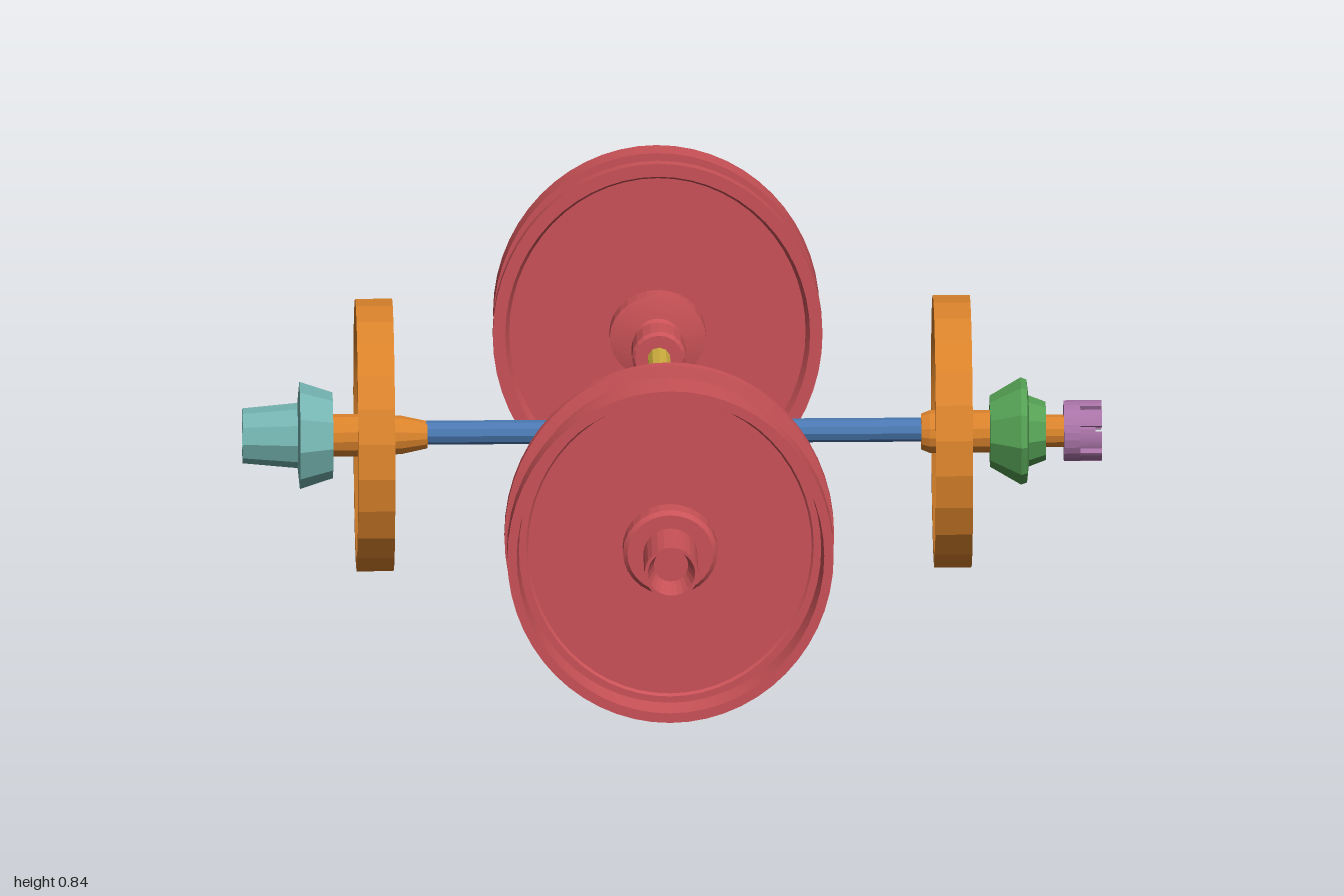
import * as THREE from 'three';
import { toCreasedNormals } from 'three/addons/utils/BufferGeometryUtils.js';

const paint = (name, hex) => {
  const m = new THREE.MeshStandardMaterial({ color: hex });
  m.name = name;
  return m;
};

export function createModel() {
  const red = paint('red', 0xc95257);
  const orange = paint('orange', 0xd9822b);
  const blue = paint('blue', 0x4a78b0);
  const yellow = paint('yellow', 0xcfae3f);
  const green = paint('green', 0x55a054);
  const purple = paint('purple', 0xa873a6);
  const teal = paint('teal', 0x74b3b0);

  const model = new THREE.Group();
  model.name = 'crossedAxles';

  // Turned part: profile of [radius, distance along axis], listed outward then up
  function turned(name, axis, profile, sides, material, parent, stretch = 1) {
    const pts = profile.map(([r, t]) => new THREE.Vector2(r, t));
    let g = new THREE.LatheGeometry(pts, sides);
    if (axis === 'x') g.rotateZ(-Math.PI / 2);
    else g.rotateX(Math.PI / 2);
    g.scale(1, stretch, 1);
    g = toCreasedNormals(g, 0.2);
    const mesh = new THREE.Mesh(g, material);
    mesh.name = name;
    parent.add(mesh);
    return mesh;
  }
  const bar = (r, a, b) => [[0, a], [r, a], [r, b], [0, b]];

  // ---- Side axle along x ----
  const sideAxle = new THREE.Group();
  sideAxle.name = 'sideAxle';
  sideAxle.position.y = 0.425;
  model.add(sideAxle);

  turned('blueRod', 'x', bar(0.028, -0.63, 0.61), 10, blue, sideAxle).position.y = 0.005;

  // Dished orange wheels with a raised rim on both faces
  for (const [name, c] of [['leftDisc', 0.652], ['rightDisc', -0.693]]) {
    const h = 0.043, w = 0.031;
    turned(name, 'x', [
      [0, c - w], [0.275, c - w], [0.287, c - h], [0.318, c - h],
      [0.318, c + h], [0.287, c + h], [0.275, c + w], [0, c + w],
    ], 24, orange, sideAxle);
  }
  turned('leftHub', 'x', [[0, 0.58], [0.042, 0.58], [0.05, 0.6], [0.05, 0.75], [0.038, 0.755],
    [0.038, 0.92], [0, 0.92]], 14, orange, sideAxle);
  turned('rightHub', 'x', [[0, -0.985], [0.042, -0.985], [0.042, -0.8], [0.05, -0.795],
    [0.05, -0.735], [0.045, -0.63], [0.032, -0.57], [0, -0.565]], 14, orange, sideAxle);

  // Stepped green collar
  turned('greenCollar', 'x', [[0, 0.74], [0.083, 0.74], [0.125, 0.812], [0.12, 0.826],
    [0.083, 0.83], [0.068, 0.87], [0, 0.87]], 10, green, sideAxle);

  // Flared teal cap, hollow at its end
  turned('tealCap', 'x', [[0, -0.97], [0.044, -0.97], [0.044, -1], [0.064, -1], [0.076, -0.872],
    [0.125, -0.867], [0.1, -0.79], [0, -0.79]], 10, teal, sideAxle);

  // Slotted purple nut
  const nut = new THREE.Group();
  nut.name = 'slottedNut';
  sideAxle.add(nut);
  turned('nutBase', 'x', bar(0.071, 0.912, 0.95), 24, purple, nut);
  turned('nutCore', 'x', bar(0.042, 0.94, 0.985), 16, purple, nut);
  for (let i = 0; i < 8; i++) {
    const a = (i * Math.PI) / 4, w = 0.3;
    const tooth = new THREE.Shape();
    tooth.absarc(0, 0, 0.071, a - w, a + w, false);
    tooth.absarc(0, 0, 0.03, a + w * 0.7, a - w * 0.7, true);
    const g = new THREE.ExtrudeGeometry(tooth, { depth: 0.052, bevelEnabled: false, curveSegments: 4 });
    g.rotateY(Math.PI / 2);
    const mesh = new THREE.Mesh(g, purple);
    mesh.name = 'nutTooth';
    mesh.position.x = 0.948;
    nut.add(mesh);
  }

  // ---- Long axle along z ----
  const longAxle = new THREE.Group();
  longAxle.name = 'longAxle';
  longAxle.position.set(-0.02, 0.423, 0);
  model.add(longAxle);
  turned('yellowRod', 'z', bar(0.027, -0.56, 0.56), 10, yellow, longAxle);

  for (const side of ['front', 'back']) {
    const wheel = new THREE.Group();
    wheel.name = side + 'Wheel';
    if (side === 'back') wheel.rotation.y = Math.PI;
    longAxle.add(wheel);
    const tall = 1.097;

    // Flanged inner disc, recessed on its inner face
    turned('wheelDisc', 'z', [[0, 0.725], [0.345, 0.725], [0.355, 0.703], [0.384, 0.703],
      [0.384, 0.726], [0.358, 0.732], [0.358, 0.803], [0.335, 0.803], [0.33, 0.797], [0, 0.797]],
    56, red, wheel, tall);

    // Separate outer ring
    turned('outerRing', 'z', [[0.352, 0.816], [0.38, 0.816], [0.38, 0.873], [0.358, 0.873],
      [0.352, 0.816]], 56, red, wheel, 1.075);

    // Hub plate and hollow outer post
    turned('hubPlate', 'z', [[0, 0.79], [0.11, 0.79], [0.11, 0.84], [0.1, 0.85], [0, 0.85]],
      28, red, wheel, 0.95);
    turned('outerPost', 'z', [[0, 0.84], [0.063, 0.84], [0.063, 0.988], [0.055, 0.988],
      [0.04, 0.93], [0, 0.93]], 24, red, wheel);

    // Inner hub with tapered neck
    turned('innerHub', 'z', [[0, 0.643], [0.035, 0.643], [0.055, 0.672], [0.09, 0.677],
      [0.112, 0.683], [0.112, 0.74], [0, 0.74]], 28, red, wheel, 0.92);

    // Collar gripping the rod
    turned('rodCollar', 'z', [[0, 0.535], [0.056, 0.535], [0.063, 0.543], [0.063, 0.61],
      [0.056, 0.622], [0.045, 0.622], [0.035, 0.605], [0, 0.605]], 20, red, wheel);
    if (side === 'back') turned('neckLink', 'z', bar(0.04, 0.6, 0.68), 12, red, wheel);
  }
  return model;
}
